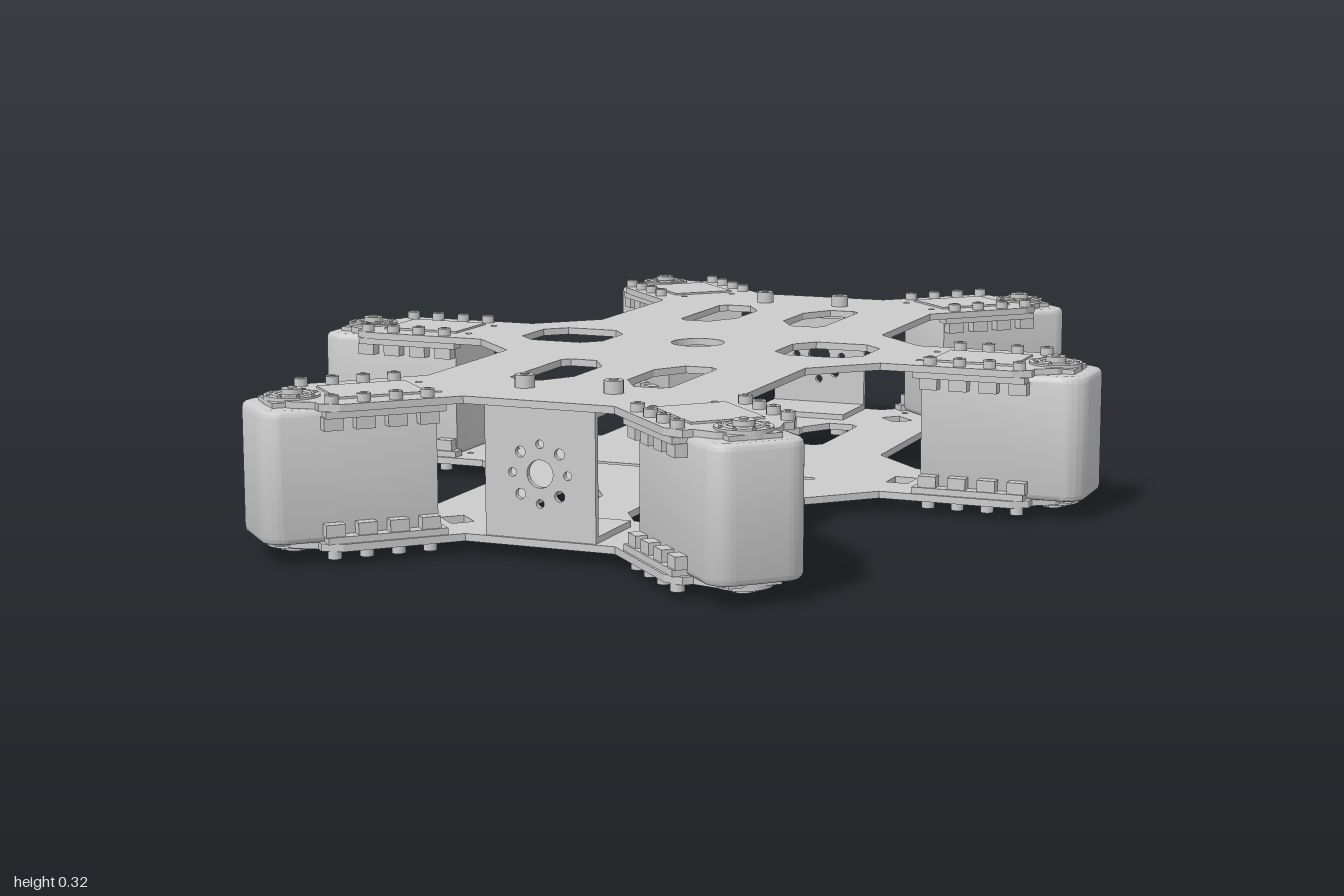
import * as THREE from 'three';
import { toCreasedNormals } from 'three/addons/utils/BufferGeometryUtils.js';

const MID = 0.159; // mid height of the symmetric frame
const Q = Math.PI / 4;
const material = new THREE.MeshStandardMaterial({ color: 0xcccccc, side: THREE.DoubleSide });

// Legs: origin x, origin z, angle, body corner before and after the arm (going round)
const arms = [
  [0, 0, 0, [0.32, -0.24], [0.32, 0.24]],
  [-0.094, 0.356, Q, [0.32, 0.585], [0.15, 0.775]],
  [0.094, 0.356, 3 * Q, [-0.15, 0.775], [-0.32, 0.585]],
  [0, 0, 4 * Q, [-0.32, 0.24], [-0.32, -0.24]],
  [0.094, -0.356, 5 * Q, [-0.32, -0.585], [-0.15, -0.775]],
  [-0.094, -0.356, 7 * Q, [0.15, -0.775], [0.32, -0.585]],
];
const toWorld = ([ox, oz, a], u, v) =>
  [ox + u * Math.cos(a) - v * Math.sin(a), oz + u * Math.sin(a) + v * Math.cos(a)];

function mesh(parent, name, geometry, x = 0, y = 0, z = 0) {
  const m = new THREE.Mesh(geometry, material);
  m.name = name;
  m.position.set(x, y, z);
  parent.add(m);
  return m;
}
const box = (p, name, w, h, d, x, y, z) => mesh(p, name, new THREE.BoxGeometry(w, h, d), x, y, z);
const disc = (p, name, r, y0, y1, x, z, n = 16) =>
  mesh(p, name, new THREE.CylinderGeometry(r, r, y1 - y0, n), x, (y0 + y1) / 2, z);

const polygon = (pts) => new THREE.Path(pts.map((p) => new THREE.Vector2(...p)));
const circle = (x, y, r) => new THREE.Path().absarc(x, y, r, 0, Math.PI * 2, true);
const rect = (x0, x1, z0, z1) => polygon([[x0, z0], [x1, z0], [x1, z1], [x0, z1]]);

// Outline shared by both deck plates
function plateShape() {
  const side = [[0.70, 0.125], [0.735, 0.105], [0.735, 0.085], [0.775, 0.06], [0.79, 0.03]];
  const tip = [...side.map(([u, v]) => [u, -v]), ...side.slice().reverse()];
  const pts = [];
  for (const arm of arms) {
    const straight = arm[0] === 0; // middle legs meet the body through a taper
    pts.push(arm[3]);
    if (straight) pts.push(toWorld(arm, 0.435, -0.125));
    for (const [u, v] of tip) pts.push(toWorld(arm, u, v));
    if (straight) pts.push(toWorld(arm, 0.435, 0.125));
    pts.push(arm[4]);
  }
  const shape = new THREE.Shape(pts.map((p) => new THREE.Vector2(...p)));
  // long lightening holes, chamfered more on the inner side
  for (const sx of [-1, 1]) for (const sz of [-1, 1]) {
    shape.holes.push(polygon([
      [0.055, 0.365], [0.095, 0.3], [0.15, 0.3], [0.165, 0.315],
      [0.165, 0.545], [0.15, 0.56], [0.095, 0.56], [0.055, 0.495],
    ].map(([x, z]) => [x * sx, z * sz])));
  }
  // small pin holes at the root of every arm
  for (const arm of arms) for (const v of [-0.06, 0.06]) {
    shape.holes.push(circle(...toWorld(arm, 0.495, v), 0.007));
  }
  return shape;
}

function plate(parent, name, shape, top) {
  const g = new THREE.ExtrudeGeometry(shape, { depth: 0.014, bevelEnabled: false, curveSegments: 16 });
  g.rotateX(Math.PI / 2);
  mesh(parent, name, g, 0, top, 0);
}

// Servo case: rounded at the outer end, square at the inner end
function servoGeometry() {
  const s = new THREE.Shape();
  const r = 0.045, w = 0.093, end = 0.835;
  s.moveTo(0.51, -w);
  s.lineTo(end - r, -w);
  s.absarc(end - r, -w + r, r, -Math.PI / 2, 0, false);
  s.absarc(end - r, w - r, r, 0, Math.PI / 2, false);
  s.lineTo(0.51, w);
  s.closePath();
  const b = 0.012, h = 0.246;
  const g = new THREE.ExtrudeGeometry(s, {
    depth: h - 2 * b, bevelThickness: b, bevelSize: b, bevelOffset: -b, bevelSegments: 3, curveSegments: 8,
  });
  g.rotateX(Math.PI / 2);
  g.translate(0, MID + h / 2 - b, 0);
  return toCreasedNormals(g, 0.6);
}

// Everything fixed to one face of a servo; mirrored for the other face
function servoFace(parent) {
  const face = new THREE.Group();
  face.name = 'servoFittings';
  for (const s of [-1, 1]) {
    box(face, 'mountRail', 0.225, 0.013, 0.03, 0.6125, 0.115, s * 0.105);
    for (let i = 0; i < 4; i++) {
      const u = 0.53 + i * 0.06;
      box(face, 'mountLug', 0.036, 0.024, 0.026, u, 0.098, s * 0.103);
      disc(face, 'screwHead', 0.013, 0.13, 0.15, u, s * 0.104, 12);
      disc(face, 'screwSocket', 0.006, 0.15, 0.152, u, s * 0.104, 6);
    }
  }
  box(face, 'coverPanel', 0.17, 0.005, 0.14, 0.605, 0.1365, 0);
  box(face, 'endCap', 0.06, 0.012, 0.1, 0.775, 0.126, 0);
  disc(face, 'hornDisc', 0.052, 0.12, 0.139, 0.755, 0, 32);
  const ring = mesh(face, 'hornRing', new THREE.TorusGeometry(0.033, 0.004, 6, 32), 0.755, 0.139, 0);
  ring.rotation.x = Math.PI / 2;
  disc(face, 'hornScrew', 0.02, 0.135, 0.15, 0.755, 0, 16);
  disc(face, 'hornSocket', 0.009, 0.15, 0.153, 0.755, 0, 6);
  for (let i = 0; i < 8; i++) {
    disc(face, 'hornPin', 0.004, 0.138, 0.142, 0.755 + 0.044 * Math.cos(i * Q), 0.044 * Math.sin(i * Q), 6);
  }
  parent.add(face);
  return face;
}

export function createModel() {
  const model = new THREE.Group();
  model.name = 'hexapodFrame';

  // Top deck: octagonal side windows and a round centre hole
  const top = plateShape();
  for (const s of [-1, 1]) {
    top.holes.push(polygon([
      [0.19, -0.05], [0.225, -0.095], [0.335, -0.095], [0.375, -0.055],
      [0.375, 0.05], [0.335, 0.09], [0.225, 0.09], [0.19, 0.055],
    ].map(([x, z]) => [x * s, z])));
  }
  top.holes.push(circle(0, 0, 0.055));
  plate(model, 'topPlate', top, MID + 0.135);

  // Bottom deck: narrow slits and square openings in the arms
  const bottom = plateShape();
  for (const s of [-1, 1]) {
    bottom.holes.push(rect(Math.min(s * 0.08, s * 0.275), Math.max(s * 0.08, s * 0.275), 0.045, 0.063));
  }
  for (const arm of arms) {
    bottom.holes.push(polygon([[0.42, -0.03], [0.465, -0.03], [0.465, 0.03], [0.42, 0.03]]
      .map(([u, v]) => toWorld(arm, u, v))));
  }
  plate(model, 'bottomPlate', bottom, MID - 0.121);

  // Six servos at the ends of the arms
  const servo = servoGeometry();
  for (const [ox, oz, a] of arms) {
    const leg = new THREE.Group();
    leg.name = 'legServo';
    leg.position.set(ox, 0, oz);
    leg.rotation.y = -a;
    mesh(leg, 'servoCase', servo);
    servoFace(leg).position.y = MID;
    const under = servoFace(leg);
    under.position.y = MID;
    under.rotation.x = Math.PI; // turned over for the lower face
    model.add(leg);
  }

  // Drilled end panels with flanges bolted to both decks
  const panel = new THREE.Shape([[-0.11, -0.121], [0.11, -0.121], [0.11, 0.121], [-0.11, 0.121]]
    .map((p) => new THREE.Vector2(...p)));
  panel.holes.push(circle(0, 0, 0.026));
  for (let i = 0; i < 8; i++) {
    panel.holes.push(circle(0.055 * Math.cos(i * Q), 0.055 * Math.sin(i * Q), i % 2 ? 0.01 : 0.008));
  }
  const panelGeometry = new THREE.ExtrudeGeometry(panel, { depth: 0.012, bevelEnabled: false, curveSegments: 12 });
  for (const s of [-1, 1]) {
    const bracket = new THREE.Group();
    bracket.name = s > 0 ? 'frontBracket' : 'backBracket';
    if (s < 0) bracket.rotation.y = Math.PI;
    mesh(bracket, 'endPanel', panelGeometry, 0, MID, 0.758);
    for (const t of [-1, 1]) {
      box(bracket, 'flange', 0.22, 0.012, 0.15, 0, MID + t * 0.115, 0.685);
      for (const x of [-0.09, 0.09]) {
        const y = MID + t * 0.134;
        disc(bracket, 'bracketBolt', 0.019, y - 0.025, y + 0.025, x, 0.64, 16);
        disc(bracket, 'boltSocket', 0.009, y + t * 0.025 - 0.002, y + t * 0.025 + 0.002, x, 0.64, 6);
      }
    }
    model.add(bracket);
  }
  return model;
}
